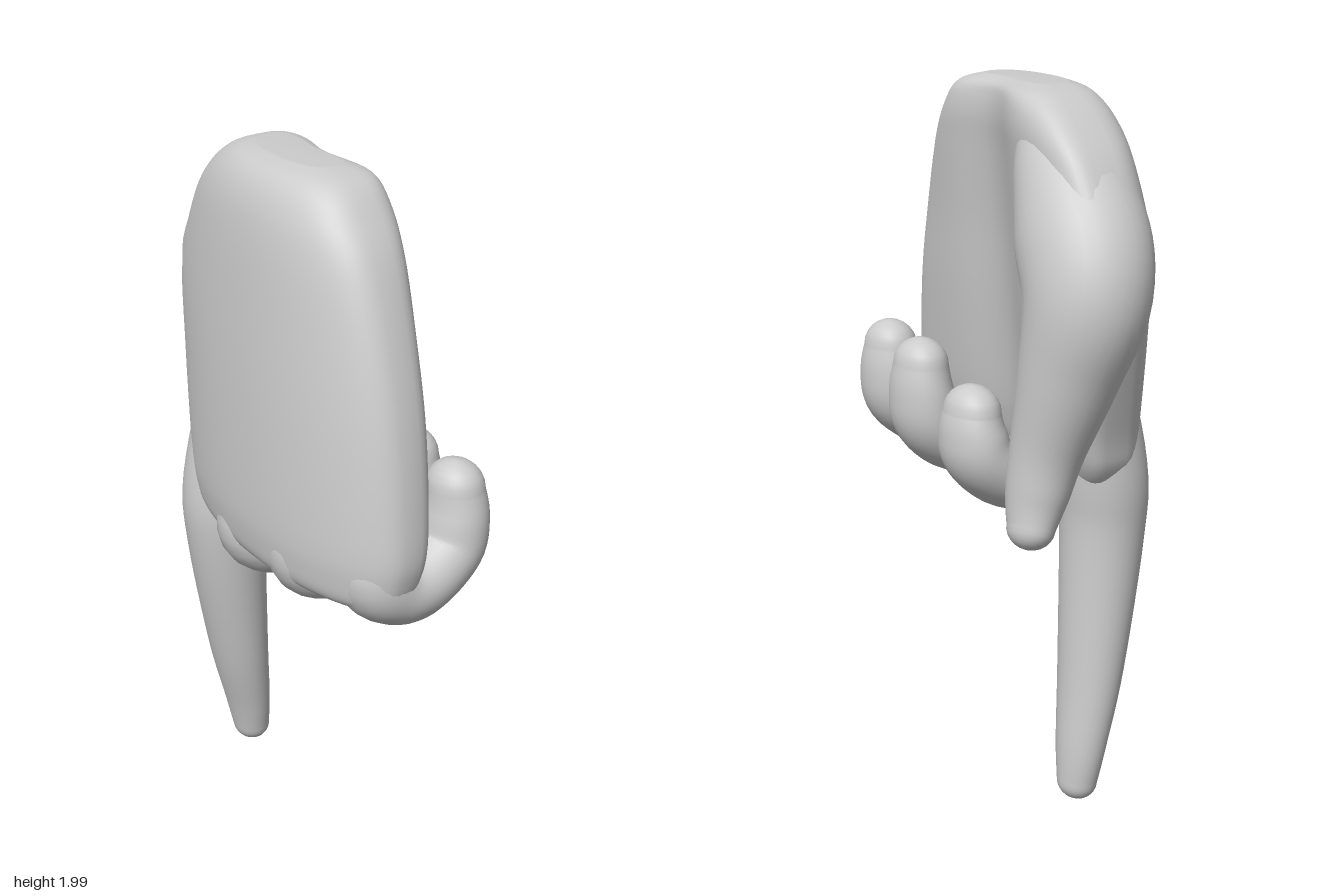
import * as THREE from 'three';

const SIDES = 32;
const material = new THREE.MeshStandardMaterial({ color: 0xcccccc });

// Skin a list of closed rings of points, with a fan at each end
function skin(name, rings) {
  const pos = [], index = [], n = rings[0].length;
  rings.forEach(r => r.forEach(p => pos.push(p.x, p.y, p.z)));
  for (let i = 0; i < rings.length - 1; i++) {
    for (let j = 0; j < n; j++) {
      const a = i * n + j, b = i * n + (j + 1) % n, c = a + n, d = b + n;
      index.push(a, b, c, b, d, c);
    }
  }
  const cap = (row, flip) => {
    const mid = rings[row].reduce((s, p) => s.add(p), new THREE.Vector3()).divideScalar(n);
    const m = pos.length / 3;
    pos.push(mid.x, mid.y, mid.z);
    for (let j = 0; j < n; j++) {
      const a = row * n + j, b = row * n + (j + 1) % n;
      index.push(...(flip ? [b, a, m] : [a, b, m]));
    }
  };
  cap(0, true);
  cap(rings.length - 1, false);
  const geo = new THREE.BufferGeometry();
  geo.setAttribute('position', new THREE.Float32BufferAttribute(pos, 3));
  geo.setIndex(index);
  geo.computeVertexNormals();
  const mesh = new THREE.Mesh(geo, material);
  mesh.name = name;
  return mesh;
}

// Smoothly interpolate every column of a table of sections
function smoothRows(rows, steps) {
  const out = [], cr = (a, b, c, d, t) =>
    0.5 * (2 * b + (c - a) * t + (2 * a - 5 * b + 4 * c - d) * t * t + (3 * b - a - 3 * c + d) * t ** 3);
  const at = i => rows[Math.min(rows.length - 1, Math.max(0, i))];
  for (let i = 0; i < rows.length - 1; i++)
    for (let k = 0; k < steps; k++)
      out.push(rows[i].map((v, c) => cr(at(i - 1)[c], v, at(i + 1)[c], at(i + 2)[c], k / steps)));
  out.push(rows[rows.length - 1]);
  return out;
}

// Finger: sections [x, y, z, half width, half depth], closed by a domed tip
function finger(name, sections) {
  const rows = smoothRows(sections, 6), rings = [];
  const centre = i => new THREE.Vector3(...rows[Math.min(rows.length - 1, Math.max(0, i))].slice(0, 3));
  const ring = (c, t, w, d) => {
    const e1 = new THREE.Vector3(1, 0, 0).addScaledVector(t, -t.x).normalize();
    const e2 = t.clone().cross(e1);
    rings.push(Array.from({ length: SIDES }, (_, j) => {
      const a = j / SIDES * Math.PI * 2;
      return c.clone().addScaledVector(e1, w * Math.cos(a)).addScaledVector(e2, d * Math.sin(a));
    }));
  };
  rows.forEach((r, i) => ring(centre(i), centre(i + 1).sub(centre(i - 1)).normalize(), r[3], r[4]));
  const last = rows.length - 1, [, , , w, d] = rows[last];
  const t = centre(last).sub(centre(last - 1)).normalize();
  for (let k = 1; k <= 6; k++) {
    const a = k / 6.3 * Math.PI / 2;
    ring(centre(last).addScaledVector(t, Math.min(w, d) * Math.sin(a)), t, w * Math.cos(a), d * Math.cos(a));
  }
  return skin(name, rings);
}

// Palm: sections [y, x min, x max, half thickness, z shift], bowed across its width
function palm(sections) {
  const n = 72, pow = (v, e) => Math.sign(v) * Math.abs(v) ** e;
  const rings = smoothRows(sections, 6).map(([y, x0, x1, h, dz]) =>
    Array.from({ length: n }, (_, j) => {
      const a = j / n * Math.PI * 2;
      const x = (x0 + x1) / 2 + (x1 - x0) / 2 * pow(Math.cos(a), 0.85);
      const s = -pow(Math.sin(a), Math.cos(a) < 0 ? 0.6 : 0.72);
      const hollow = s < 0 ? -s * 0.055 * Math.exp(-(((x - 0.04) / 0.15) ** 2)) * Math.min(1, h / 0.15) : 0;
      return new THREE.Vector3(x, y, 0.1 - 0.25 * (x - 0.3) ** 2 + dz + h * s + hollow);
    }));
  return skin('palm', rings);
}

export function createModel() {
  const hand = new THREE.Group();
  hand.name = 'pointingHand';

  hand.add(palm([
    [0.91, -0.3, 0.49, 0.06, 0.05],
    [0.94, -0.36, 0.555, 0.118, 0.05],
    [1.01, -0.41, 0.585, 0.145, 0.042],
    [1.12, -0.435, 0.59, 0.159, 0.032],
    [1.38, -0.505, 0.55, 0.168, 0.012],
    [1.6, -0.555, 0.492, 0.17, -0.005],
    [1.8, -0.46, 0.415, 0.17, -0.025],
    [1.91, -0.36, 0.34, 0.163, -0.042],
    [1.975, -0.26, 0.27, 0.135, -0.055],
    [2.0, -0.17, 0.18, 0.075, -0.055],
  ]));

  // Straight pointing finger
  hand.add(finger('indexFinger', [
    [-0.28, 1.3, 0.015, 0.11, 0.1],
    [-0.285, 0.98, 0.066, 0.128, 0.124],
    [-0.285, 0.78, 0.07, 0.122, 0.116],
    [-0.303, 0.4, 0.023, 0.103, 0.087],
    [-0.315, 0.17, -0.018, 0.08, 0.066],
    [-0.318, 0.06, -0.033, 0.062, 0.055],
  ]));

  // Thumb with its broad base along the edge of the palm
  hand.add(finger('thumb', [
    [-0.19, 1.92, -0.06, 0.07, 0.07],
    [-0.25, 1.82, -0.06, 0.13, 0.12],
    [-0.35, 1.66, -0.07, 0.18, 0.165],
    [-0.425, 1.5, -0.105, 0.177, 0.158],
    [-0.4, 1.3, -0.14, 0.14, 0.13],
    [-0.36, 1.1, -0.175, 0.106, 0.098],
    [-0.35, 0.97, -0.203, 0.092, 0.08],
    [-0.36, 0.885, -0.23, 0.072, 0.06],
  ]));

  // Curled fingers: [name, root x, tip x, lowest y, rear z, tip y, half width, knuckle z]
  [
    ['middleFinger', -0.02, -0.005, 0.78, -0.255, 1.18, 0.123, 0.16],
    ['ringFinger', 0.24, 0.25, 0.82, -0.255, 1.26, 0.118, 0.185],
    ['littleFinger', 0.468, 0.483, 0.828, -0.21, 1.26, 0.113, 0.14],
  ].forEach(([name, x0, x1, low, rear, tip, w, front]) => {
    const r = 0.1, mix = t => x0 + (x1 - x0) * t;
    hand.add(finger(name, [
      [x0, 1.2, front - 0.07, w * 0.75, 0.08],
      [x0, low + 0.19, front, w * 0.96, r],
      [mix(0.2), low + r + 0.02, front - 0.055, w, r],
      [mix(0.5), low + r + 0.02, rear + 0.21, w, r],
      [mix(0.8), low + 0.19, rear + 0.11, w * 0.98, r * 0.96],
      [x1, (low + 0.2 + tip - 0.075) / 2, rear + 0.088, w * 0.92, r * 0.88],
      [x1, tip - 0.075, rear + 0.088, w * 0.76, 0.075],
    ]));
  });

  return hand;
}
